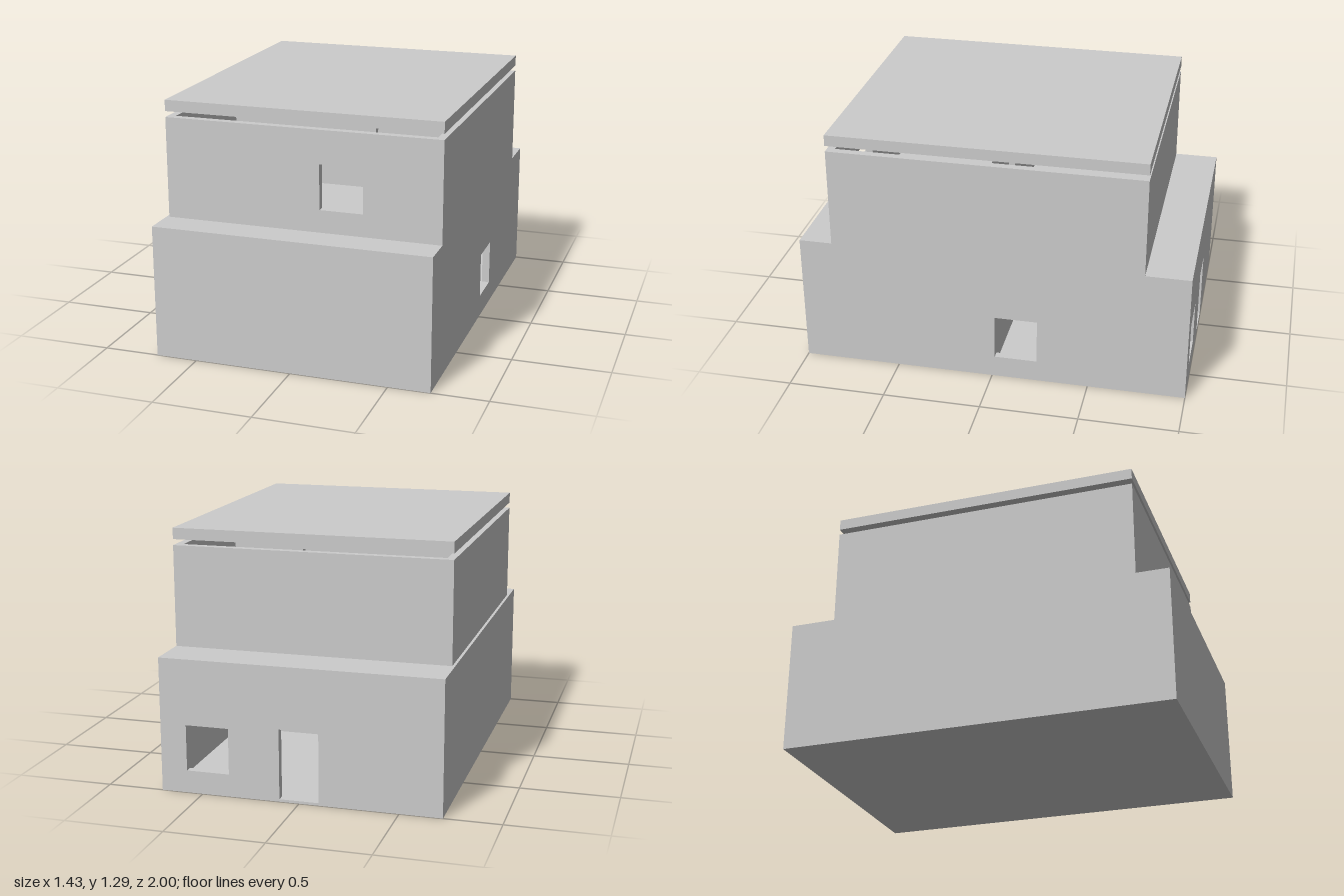
import * as THREE from 'three';

const T = 0.04; // wall thickness
const material = new THREE.MeshStandardMaterial({ color: 0xcccccc, flatShading: true, side: THREE.DoubleSide });

function add(parent, name, geometry, x = 0, y = 0, z = 0) {
  const mesh = new THREE.Mesh(geometry, material);
  mesh.name = name;
  mesh.position.set(x, y, z);
  parent.add(mesh);
  return mesh;
}

// Box given by its limits on each axis
function block(parent, name, [x0, x1], [y0, y1], [z0, z1]) {
  return add(parent, name, new THREE.BoxGeometry(x1 - x0, y1 - y0, z1 - z0),
    (x0 + x1) / 2, (y0 + y1) / 2, (z0 + z1) / 2);
}

function rectangle(Type, u0, u1, y0, y1) {
  return new Type([[u0, y0], [u1, y0], [u1, y1], [u0, y1]].map(p => new THREE.Vector2(...p)));
}

// Upright wall; each opening is [u0, u1, y0, y1]
function wallGeometry([u0, u1], [y0, y1], openings = []) {
  const shape = rectangle(THREE.Shape, u0, u1, y0, y1);
  shape.holes = openings.map(o => rectangle(THREE.Path, ...o));
  return new THREE.ExtrudeGeometry(shape, { depth: T, bevelEnabled: false });
}

// Ring of four walls around a storey
function storey(name, x, y, z, openings) {
  const group = new THREE.Group();
  group.name = name;
  const side = [z[0] + T, z[1] - T];
  add(group, 'frontWall', wallGeometry(x, y, openings.front), 0, 0, z[1] - T);
  add(group, 'backWall', wallGeometry(x, y, openings.back), 0, 0, z[0]);
  add(group, 'leftWall', wallGeometry(side, y, openings.left), x[1]).rotation.y = -Math.PI / 2;
  add(group, 'rightWall', wallGeometry(side, y), x[0] + T).rotation.y = -Math.PI / 2;
  return group;
}

export function createModel() {
  const house = new THREE.Group();
  house.name = 'house';

  // Ground storey with a door, two windows, floor and ceiling
  const inX = [-0.714 + T, 0.714 - T];
  const inZ = [-1 + T, 1 - T];
  const lower = storey('groundStorey', [-0.714, 0.714], [0, 0.685], [-1, 1], {
    back: [[-0.1, 0.1, 0.013, 0.37], [0.36, 0.58, 0.115, 0.35]],
    left: [[-0.235, -0.015, 0.115, 0.35]],
  });
  block(lower, 'floor', inX, [0, 0.013], inZ);
  block(lower, 'ceiling', inX, [0.645, 0.685], inZ);
  add(lower, 'partition', wallGeometry(inX, [0.013, 0.645], [[-0.3, -0.1, 0.02, 0.4]]), 0, 0, 0);

  // Small seat against the partition
  block(lower, 'seatBase', [-0.6, -0.48], [0.013, 0.145], [-0.19, -0.065]);
  block(lower, 'seatPost', [-0.6, -0.48], [0.145, 0.185], [-0.105, -0.097]);
  const back = block(lower, 'seatPanel', [-0.6, -0.48], [0.204, 0.212], [-0.108, -0.007]);
  back.rotation.x = -0.49;
  house.add(lower);

  // Set-back upper storey with a front window and an inner doorway
  const upperX = [-0.7, 0.714];
  const upperZ = [-0.77, 0.83];
  const upper = storey('upperStorey', upperX, [0.685, 1.2], upperZ, { front: [[0.1, 0.32, 0.8, 1.03]] });
  add(upper, 'partition',
    wallGeometry([upperX[0] + T, upperX[1] - T], [0.685, 1.2], [[0.14, 0.285, 0.69, 1.06]]), 0, 0, 0);
  house.add(upper);

  // Flat roof held just clear of the walls
  block(house, 'roof', upperX, [1.23, 1.287], upperZ);
  return house;
}
